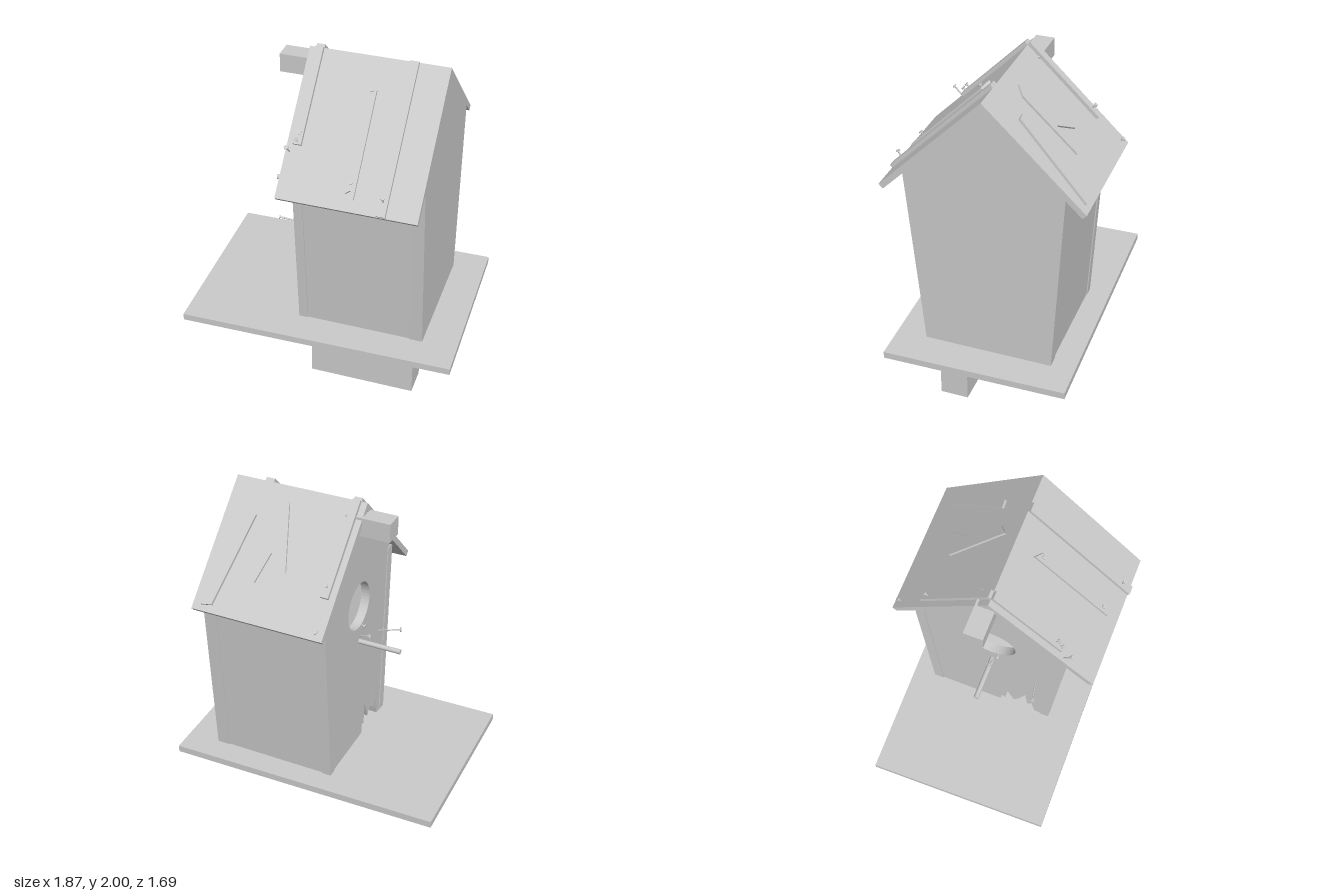
import * as THREE from 'three';

const mat = new THREE.MeshStandardMaterial({ color: 0xcccccc, side: THREE.DoubleSide });

function add(parent, name, geo, x = 0, y = 0, z = 0) {
  const m = new THREE.Mesh(geo, mat);
  m.name = name;
  m.position.set(x, y, z);
  parent.add(m);
  return m;
}

function shapeOf(pts) {
  return new THREE.Shape(pts.map(p => new THREE.Vector2(p[0], p[1])));
}

// Outline in the gable plane, extruded from z0 to z1
function slab(parent, name, shape, z0, z1) {
  const geo = new THREE.ExtrudeGeometry(shape, { depth: z1 - z0, bevelEnabled: false, curveSegments: 24 });
  return add(parent, name, geo, 0, 0, z0);
}

// Nail with a flat head, from its point to its head
function nail(parent, from, to, r = 0.005) {
  const a = new THREE.Vector3(...from), b = new THREE.Vector3(...to);
  const len = a.distanceTo(b);
  const g = new THREE.Group();
  g.name = 'nail';
  add(g, 'nailShank', new THREE.CylinderGeometry(r, r * 0.7, len, 8), 0, len / 2, 0);
  add(g, 'nailHead', new THREE.CylinderGeometry(r * 2.4, r * 2.4, 0.006, 10), 0, len, 0);
  g.position.copy(a);
  g.quaternion.setFromUnitVectors(new THREE.Vector3(0, 1, 0), b.sub(a).normalize());
  parent.add(g);
}

// Flat piece lying on a roof slope, outline given as (along slope, z)
function patch(parent, name, pts, h) {
  const geo = new THREE.ExtrudeGeometry(shapeOf(pts.map(p => [p[0], -p[1]])), { depth: h, bevelEnabled: false });
  geo.rotateX(-Math.PI / 2);
  return add(parent, name, geo);
}

const BASE = 0.44, EAVE = 1.52;
const WALL = { right: [0.337, 0.412], left: [-0.394, -0.455] };
const BACK = -0.587, FRONT = 0.137, RIDGE = [-0.015, 1.985];

export function createModel() {
  const model = new THREE.Group();
  model.name = 'birdhouse';
  const house = new THREE.Group();
  house.name = 'house';
  house.rotation.y = -Math.PI / 3;
  model.add(house);

  // Base board and the post below it
  add(model, 'baseBoard', new THREE.BoxGeometry(1.04, 0.04, 1.56), 0, 0.42, 0).rotation.y = -1.031;
  add(house, 'post', new THREE.BoxGeometry(0.163, 0.4, 0.61), 0.206, 0.2, -0.222);

  // Back wall, flush with the roof end
  slab(house, 'backWall', shapeOf([
    [WALL.left[0], BASE], [WALL.right[0], BASE], [0.425, EAVE - 0.022],
    [RIDGE[0], 1.94], [WALL.left[1], EAVE],
  ]), BACK, BACK + 0.075);

  // Front wall with round entrance and a splintered gap at its foot
  const front = shapeOf([
    [WALL.left[0] + 0.02, BASE], [0.03, BASE], [0.04, 0.51], [0.06, 0.49], [0.075, 0.62],
    [0.115, 0.51], [0.15, 0.57], [0.185, 0.67], [0.2, 0.52], [0.225, 0.56], [0.24, 0.48], [0.25, BASE],
    [WALL.right[0] - 0.02, BASE], [WALL.right[1] - 0.02, EAVE], [RIDGE[0], 1.94], [WALL.left[1] + 0.02, EAVE],
  ]);
  const hole = new THREE.Path();
  hole.absellipse(-0.02, 1.35, 0.138, 0.138, 0, Math.PI * 2, true);
  front.holes.push(hole);
  slab(house, 'frontWall', front, FRONT - 0.055, FRONT - 0.005);

  // Leaning side walls and front corner strips
  for (const [name, [b, t], s] of [['left', WALL.left, -1], ['right', WALL.right, 1]]) {
    const leaning = (out, width) => shapeOf([
      [b - s * out, BASE], [b - s * (out + width), BASE],
      [t - s * (out + width), EAVE], [t - s * out, EAVE],
    ]);
    slab(house, name + 'SideWall', leaning(0.006, 0.04), BACK + 0.075, FRONT - 0.05);
    slab(house, name + 'CornerStrip', leaning(0, 0.055), FRONT - 0.052, FRONT);
  }

  // Roof: two boards meeting at the ridge, the left one shorter
  slab(house, 'roof', shapeOf([
    [-0.566, 1.457], RIDGE, [0.566, 1.402], [0.542, 1.378], [RIDGE[0], 1.937], [-0.544, 1.434],
  ]), BACK, 0.172);

  // Ridge beam and perch
  add(house, 'ridgeBeam', new THREE.BoxGeometry(0.105, 0.105, 0.25), -0.033, 1.877, 0.205);
  const perch = add(house, 'perch', new THREE.CylinderGeometry(0.014, 0.014, 0.29, 12), -0.015, 1.12, 0.235);
  perch.rotation.x = Math.PI / 2;

  // Each slope has its own frame: x along the slope, y outward
  const slope = (name, angle) => {
    const g = new THREE.Group();
    g.name = name;
    g.position.set(RIDGE[0], RIDGE[1], 0);
    g.rotation.z = angle;
    house.add(g);
    return g;
  };
  const right = slope('rightSlope', -0.788);
  const left = slope('leftSlope', 0.765);

  // Right slope: battens and a splintered strip
  add(right, 'frontBatten', new THREE.BoxGeometry(0.53, 0.02, 0.045), 0.265, 0.01, 0.115);
  add(right, 'rearBatten', new THREE.BoxGeometry(0.82, 0.02, 0.05), 0.41, 0.01, -0.395);
  patch(right, 'splinteredStrip', [
    [0.14, -0.19], [0.18, -0.235], [0.76, -0.24], [0.715, -0.215], [0.735, -0.19],
  ], 0.015);

  // Left slope: batten, tilted strip and jagged patch
  add(left, 'frontBatten', new THREE.BoxGeometry(0.54, 0.02, 0.045), -0.27, 0.01, 0.115);
  patch(left, 'tiltedStrip', [[-0.73, -0.535], [-0.2, -0.45], [-0.195, -0.4], [-0.72, -0.475]], 0.015);
  patch(left, 'jaggedPatch', [
    [-0.55, -0.285], [-0.145, -0.29], [-0.09, -0.242], [-0.465, -0.133], [-0.375, -0.246],
  ], 0.012);

  // Nails in the roof pieces
  nail(right, [0.47, 0, 0.115], [0.47, 0.04, 0.11]);
  nail(right, [0.5, 0, 0.115], [0.51, 0.035, 0.12]);
  nail(right, [0.57, 0, 0.15], [0.565, 0.07, 0.15]);
  nail(right, [0.19, 0, -0.212], [0.185, 0.03, -0.212]);
  nail(right, [0.68, 0, -0.212], [0.675, 0.03, -0.212]);
  nail(right, [0.75, 0, -0.395], [0.73, 0.05, -0.395]);
  nail(left, [-0.48, 0, 0.115], [-0.48, 0.045, 0.115]);
  nail(left, [-0.72, 0, 0.13], [-0.72, 0.02, 0.13]);

  // Nails in the front wall
  nail(house, [0.24, 1.03, 0.11], [0.27, 1.06, 0.262]);
  nail(house, [0.0, 1.14, 0.12], [-0.01, 1.165, 0.19]);
  nail(house, [0.02, 1.21, 0.12], [0.02, 1.2, 0.15]);

  return model;
}
